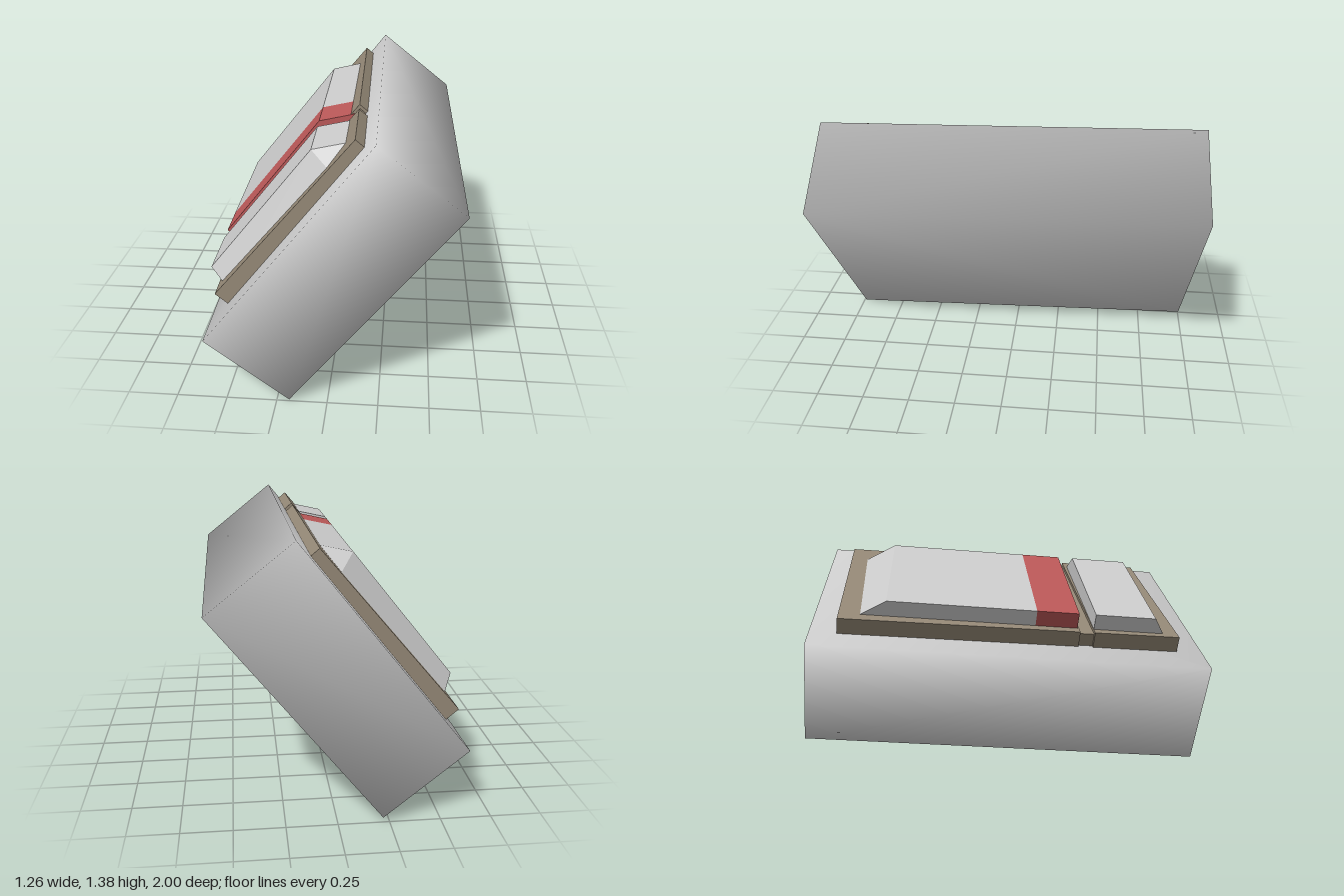
import * as THREE from 'three';
import { mergeVertices } from 'three/addons/utils/BufferGeometryUtils.js';
import { ConvexGeometry } from 'three/addons/geometries/ConvexGeometry.js';

const grey = new THREE.MeshStandardMaterial({ color: 0xcccccc });
const brown = new THREE.MeshStandardMaterial({ color: 0x948876 });
const red = new THREE.MeshStandardMaterial({ color: 0xbb5858 });

function addMesh(parent, name, geometry, material) {
  const mesh = new THREE.Mesh(geometry, material);
  mesh.name = name;
  parent.add(mesh);
  return mesh;
}

function addBox(parent, name, size, pos, material) {
  const mesh = addMesh(parent, name, new THREE.BoxGeometry(...size), material);
  mesh.position.set(...pos);
  return mesh;
}

// Cross-section of the raised blocks: straight low side, sloped high side
const LOW = -0.452, RIDGE = 0.366, FOOT = 0.53, TOP = 0.422, BASE = 0.29;

// Block running from a flat end to a bevelled end with a clipped corner
function blockGeometry(zFlat, zRidge, zTip) {
  const points = [];
  const add = (x, y, z) => points.push(new THREE.Vector3(x, y, z));
  for (const z of [zFlat, zRidge]) {
    add(LOW, BASE, z);
    add(LOW, TOP, z);
    add(RIDGE, TOP, z);
    add(FOOT, BASE, z);
  }
  if (zTip !== zRidge) {
    add(LOW, BASE, zTip);
    add(RIDGE, BASE, zTip);
  }
  return new ConvexGeometry(points);
}

export function createModel() {
  const model = new THREE.Group();
  model.name = 'model';

  // Tilted frame: x runs up the slab, y is its outward normal
  const body = new THREE.Group();
  body.name = 'tiltedBody';
  body.rotation.set(0.019, 0, 0.8987, 'ZYX');
  body.position.set(0, 0.685, 0);
  model.add(body);

  // Slab with normals averaged across its edges
  let slab = new THREE.BoxGeometry(1.317, 0.526, 1.99);
  slab.deleteAttribute('normal');
  slab.deleteAttribute('uv');
  slab = mergeVertices(slab);
  slab.computeVertexNormals();
  addMesh(body, 'slab', slab, grey);

  // Two backing plates joined by a lower strip, slightly askew
  const plates = new THREE.Group();
  plates.name = 'backingPlates';
  plates.position.set(0.025, 0.28, -0.01);
  plates.rotation.set(0, 0.018, -0.025);
  body.add(plates);
  addBox(plates, 'backPlate', [1.06, 0.1, 1.205], [0, 0, -0.2575], brown);
  addBox(plates, 'frontPlate', [1.06, 0.1, 0.44], [0, 0, 0.64], brown);
  addBox(plates, 'joiningStrip', [1.03, 0.07, 0.1], [0, 0, 0.38], brown);

  // Raised blocks and the coloured band
  addMesh(body, 'largeBlock', blockGeometry(0.12, -0.63, -0.835), grey);
  addMesh(body, 'colouredBand', blockGeometry(0.335, 0.12, 0.12), red);
  addMesh(body, 'smallBlock', blockGeometry(0.42, 0.73, 0.815), grey);

  return model;
}
